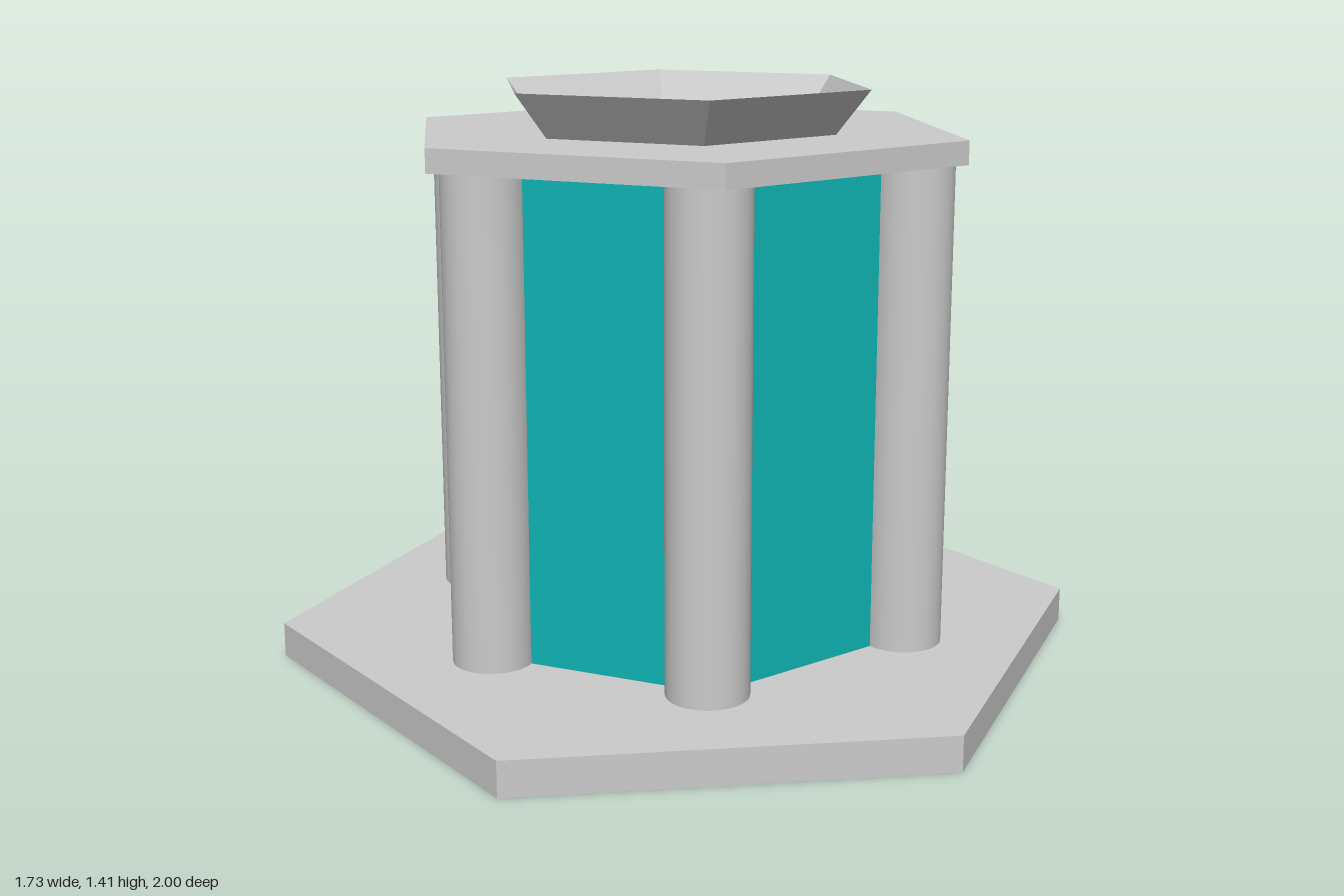
import * as THREE from 'three';

const grey = new THREE.MeshStandardMaterial({ color: 0xcccccc, flatShading: true });
const smoothGrey = new THREE.MeshStandardMaterial({ color: 0xcccccc });
const teal = new THREE.MeshStandardMaterial({ color: 0x10b5b5, flatShading: true });
const thinGrey = new THREE.MeshStandardMaterial({ color: 0xcccccc, flatShading: true, side: THREE.DoubleSide });

// Upright prism between two heights; turn = 30 degrees puts corners on the x axis
function prism(name, rTop, rBottom, y0, y1, turn, material, sides = 6, open = false) {
  const geometry = new THREE.CylinderGeometry(rTop, rBottom, y1 - y0, sides, 1, open);
  geometry.rotateY(turn);
  const mesh = new THREE.Mesh(geometry, material);
  mesh.position.y = (y0 + y1) / 2;
  mesh.name = name;
  return mesh;
}

export function createModel() {
  const model = new THREE.Group();
  model.name = 'hexagonalPavilion';
  const turn = Math.PI / 6;
  const floorY = 0.085, eavesY = 1.247, roofY = 1.303, rimY = 1.41;

  model.add(prism('base', 1, 1, 0, floorY, 0, grey));
  model.add(prism('walls', 0.573, 0.573, floorY, eavesY, turn, teal));
  model.add(prism('roofSlab', 0.708, 0.708, eavesY, roofY, turn, grey));

  // Thin flared rim, open at the top
  model.add(prism('flaredRim', 0.474, 0.39, roofY, rimY, turn, thinGrey, 6, true));

  // Round columns at the wall corners, mirrored left and right
  const columns = new THREE.Group();
  columns.name = 'columns';
  for (const [x, z] of [[0.273, 0.502], [0.578, 0], [0.271, -0.464]]) {
    for (const side of [1, -1]) {
      const column = prism('column', 0.097, 0.097, floorY, eavesY, 0, smoothGrey, 32);
      column.position.x = side * x;
      column.position.z = z;
      columns.add(column);
    }
  }
  model.add(columns);
  return model;
}
